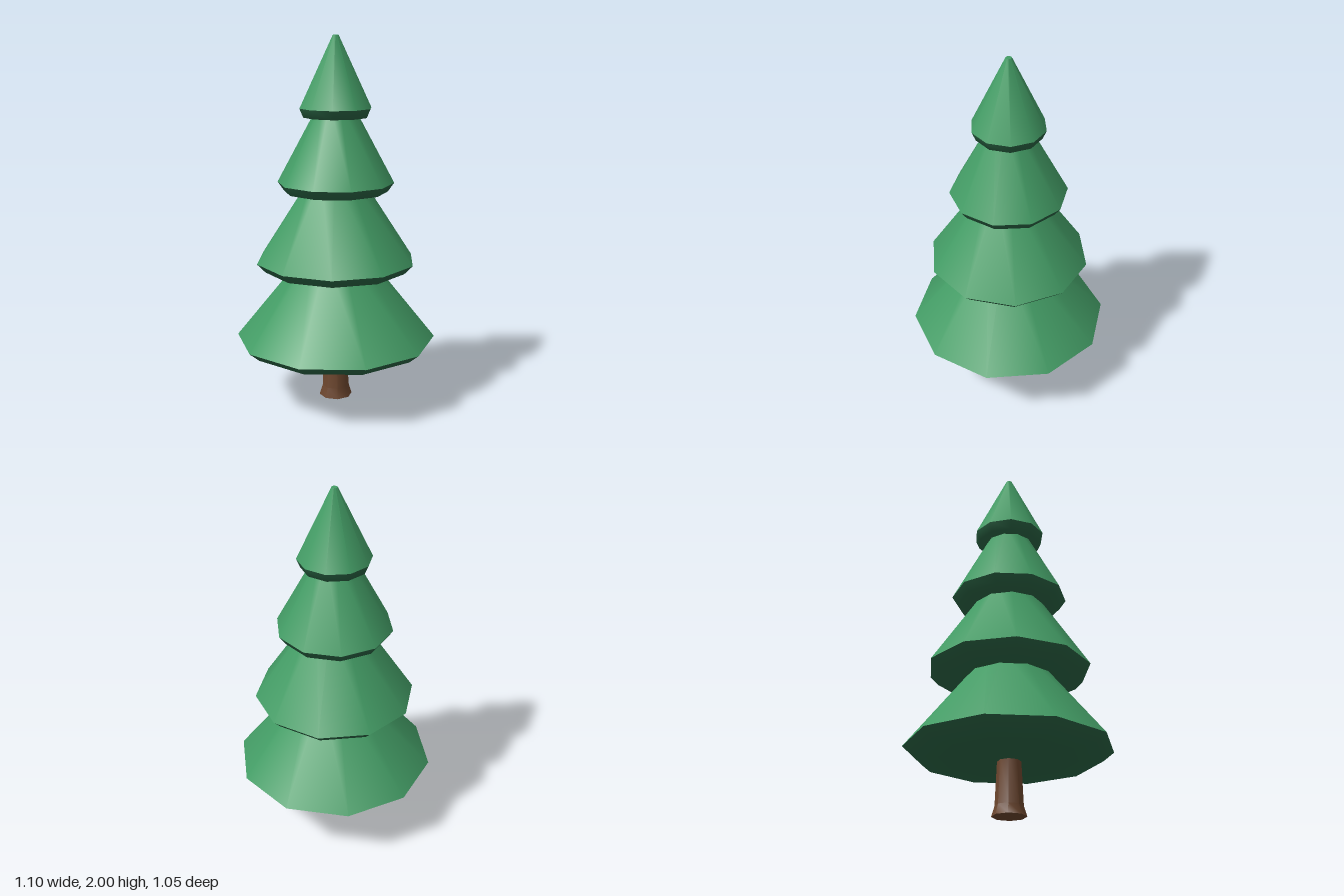
import * as THREE from 'three';
import { toCreasedNormals } from 'three/addons/utils/BufferGeometryUtils.js';

const needles = new THREE.MeshStandardMaterial({ name: 'needleGreen', color: 0x439c65 });
const shade = new THREE.MeshStandardMaterial({ name: 'undersideGreen', color: 0x2a6444 });
const bark = new THREE.MeshStandardMaterial({ name: 'barkBrown', color: 0x6b452d });

// Turned surface from [radius, height] pairs, listed bottom to top
function turned(name, profile, sides, material, crease) {
  const points = profile.map(([r, y]) => new THREE.Vector2(r, y));
  const geometry = toCreasedNormals(new THREE.LatheGeometry(points, sides), crease);
  const mesh = new THREE.Mesh(geometry, material);
  mesh.name = name;
  return mesh;
}

export function createModel() {
  const tree = new THREE.Group();
  tree.name = 'pineTree';

  // Trunk with flared foot
  tree.add(turned('trunk', [
    [0, 0], [0.091, 0], [0.074, 0.055], [0.062, 0.3], [0.06, 0.4], [0, 0.4],
  ], 8, bark, 0.8));

  // Branch tiers: rim radius, rim height, top radius, top height, sag of underside
  const tiers = [
    [0.55, 0.35, 0.15, 0.845, 0.02],
    [0.44, 0.79, 0.125, 1.27, 0.012],
    [0.316, 1.22, 0.085, 1.65, 0.01],
    [0.197, 1.62, 0.016, 2.0, 0.008],
  ];
  tiers.forEach(([rim, y, top, topY, sag], i) => {
    const tier = new THREE.Group();
    tier.name = `branchTier${i + 1}`;
    tier.rotation.y = Math.PI / 10 + 0.3 * i; // each tier turned a little further

    // Sloping needles, closed on top
    tier.add(turned('needleCone', [[rim, y], [top, topY], [0, topY]], 10, needles, 0.8));

    // Dark rim that rounds into the underside
    tier.add(turned('underside', [
      [0, y - 0.048 - sag], [rim * 0.895, y - 0.048], [rim, y],
    ], 10, shade, 1.3));
    tree.add(tier);
  });

  return tree;
}
